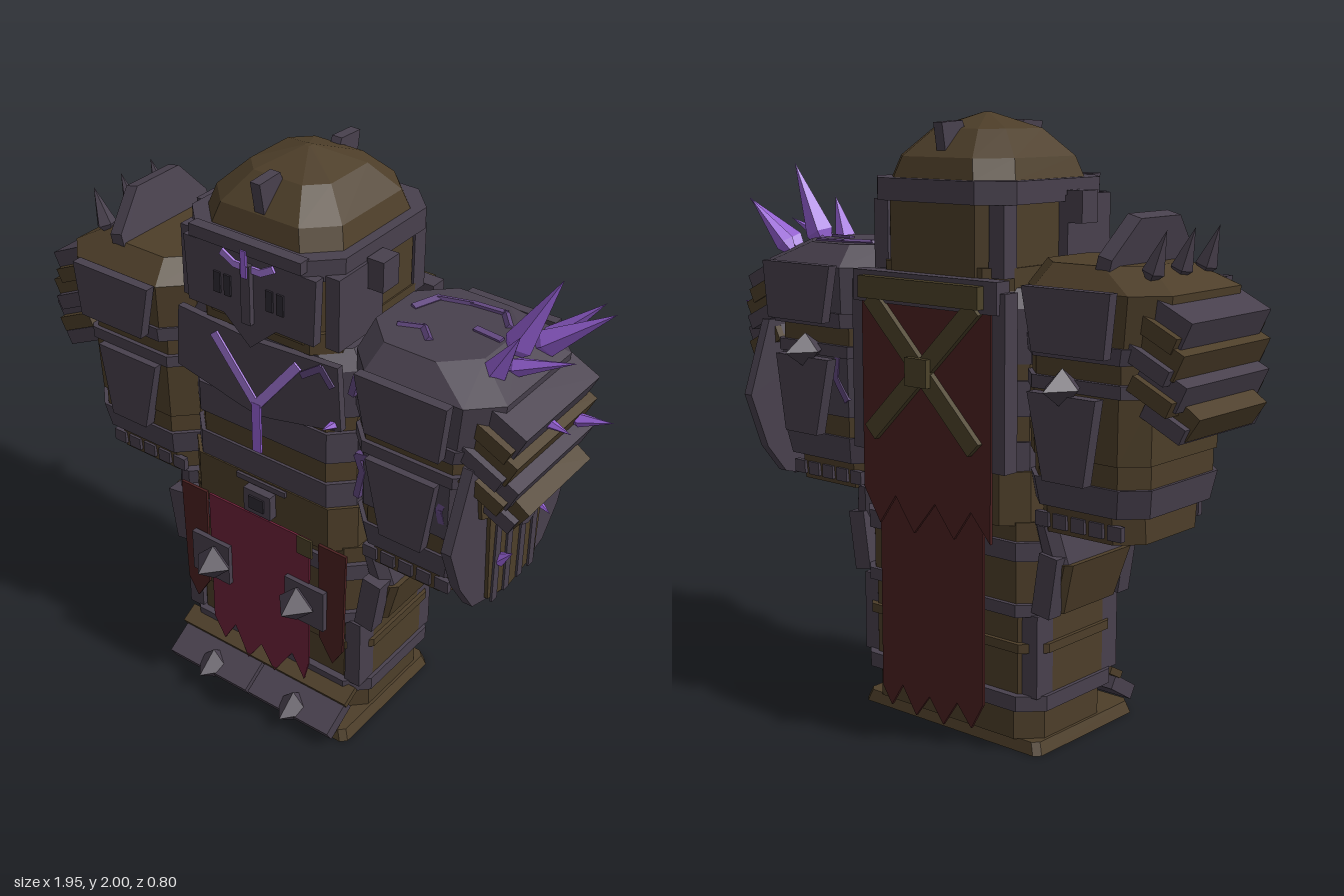
import * as THREE from 'three';

export function createModel() {
  const root = new THREE.Group(), body = new THREE.Group();
  root.name = 'armouredGiant'; body.name = 'body';
  body.position.x = -0.045;
  root.add(body);
  const mat = (name, color) => { const m = new THREE.MeshStandardMaterial({ color }); m.name = name; return m; };
  const metal = mat('dark iron', 0x48404d), brown = mat('brown leather', 0x4d3e29), dark = mat('shadow iron', 0x2f2a33),
    crimson = mat('crimson cloth', 0x6c2138), maroon = mat('maroon cloth', 0x4a2020), strap = mat('olive strap', 0x4c4229),
    purple = mat('purple crystal', 0x9560d4), glow = mat('light purple glow', 0xa678dc), vein = mat('dim purple vein', 0x624880);
  cloth(); 
  function cloth() { [crimson, maroon].forEach(m => { m.side = THREE.DoubleSide; }); }

  const add = (name, geo, m, parent = body) => {
    const g = geo.index ? geo.toNonIndexed() : geo;
    g.computeVertexNormals();
    const mesh = new THREE.Mesh(g, m);
    mesh.name = name; parent.add(mesh);
    return mesh;
  };
  const box = (name, m, x, y, z, w, h, d, p = body, rx = 0, rz = 0) => {
    const b = add(name, new THREE.BoxGeometry(w, h, d), m, p);
    b.position.set(x, y, z); b.rotation.set(rx, 0, rz);
    return b;
  };
  // Chamfered block; each ring is [y, x0, x1, halfDepth, chamfer]
  const loft = (name, m, rings, p = body, z = -0.01) => {
    const pos = [], pts = rings.map(([y, a, b, d, c]) => [[a + c, d], [b - c, d], [b, d - c], [b, c - d], [b - c, -d], [a + c, -d], [a, c - d], [a, d - c]]
      .map(q => [q[0], y, q[1] + z]));
    const tri = (...v) => v.forEach(q => pos.push(...q));
    for (let r = 0; r + 1 < pts.length; r++) for (let i = 0; i < 8; i++) {
      const j = (i + 1) % 8, A = pts[r], B = pts[r + 1];
      tri(A[i], A[j], B[j]); tri(A[i], B[j], B[i]);
    }
    const lo = pts[0], hi = pts[pts.length - 1];
    for (let i = 1; i < 7; i++) { tri(hi[0], hi[i], hi[i + 1]); tri(lo[0], lo[i + 1], lo[i]); }
    const g = new THREE.BufferGeometry();
    g.setAttribute('position', new THREE.Float32BufferAttribute(pos, 3));
    return add(name, g, m, p);
  };
  const ring = (name, m, y0, y1, hw, hd, c = 0.07) => loft(name, m, [[y0, -hw, hw, hd, c], [y1, -hw, hw, hd, c]]);
  // Flat outline in x and y, extruded towards +z
  const plate = (name, m, pts, z, t, p = body) => {
    const s = new THREE.Shape(pts.map(q => new THREE.Vector2(...q)));
    const e = add(name, new THREE.ExtrudeGeometry(s, { depth: t, bevelEnabled: false }), m, p);
    e.position.z = z;
    return e;
  };
  const stud = (name, x, y, z, r, l, p = body) => {
    const o = add(name, new THREE.OctahedronGeometry(1), metal, p);
    o.position.set(x, y, z); o.scale.set(r, r, l);
  };
  const aim = (mesh, a, b, at) => {
    const d = new THREE.Vector3().subVectors(b, a);
    mesh.quaternion.setFromUnitVectors(new THREE.Vector3(0, 1, 0), d.clone().normalize());
    mesh.position.copy(a).addScaledVector(d, at);
  };
  const shard = (name, m, a, b, r, p = body) => {
    a = new THREE.Vector3(...a); b = new THREE.Vector3(...b);
    const l = a.distanceTo(b), prof = [[0, 0], [r, l * 0.25], [0, l]].map(q => new THREE.Vector2(...q));
    aim(add(name, new THREE.LatheGeometry(prof, 5), m, p), a, b, 0);
  };
  const strip = (name, m, pts, w, t = w, p = body) => {
    for (let i = 0; i + 1 < pts.length; i++) {
      const a = new THREE.Vector3(...pts[i]), b = new THREE.Vector3(...pts[i + 1]);
      aim(add(name, new THREE.BoxGeometry(w, a.distanceTo(b) + w * 0.4, t), m, p), a, b, 0.5);
    }
  };

  // Base and legs
  loft('base', brown, [[0.005, -0.385, 0.385, 0.26, 0.02], [0.045, -0.37, 0.37, 0.25, 0.02]], body, 0.045);
  ring('foot', brown, 0.045, 0.16, 0.36, 0.21);
  ring('ankleBand', metal, 0.15, 0.2, 0.388, 0.235);
  ring('shin', brown, 0.2, 0.47, 0.375, 0.21);
  ring('shinBand', brown, 0.34, 0.37, 0.388, 0.225);
  ring('kneeBand', metal, 0.46, 0.5, 0.385, 0.235);
  ring('thigh', brown, 0.5, 0.76, 0.375, 0.22);
  ring('hipBand', metal, 0.64, 0.7, 0.385, 0.235);
  box('toeRim', brown, 0, 0.155, 0.235, 0.72, 0.025, 0.07, body, 0.5);
  for (const s of [-1, 1]) {
    box('toePlate', metal, s * 0.178, 0.085, 0.29, 0.345, 0.05, 0.13, body, 0.55);
    stud('toeSpike', s * 0.178, 0.075, 0.32, 0.065, 0.08);
    for (const z of [-0.17, 0.17]) box('legCorner', metal, s * 0.345, 0.33, z, 0.06, 0.27, 0.08);
    const a = s > 0 ? [0.36, 0.46] : [-0.46, -0.36], b = s > 0 ? [0.36, 0.475] : [-0.475, -0.36];
    loft('tassetBottom', brown, [[0.47, s > 0 ? 0.36 : -0.425, s > 0 ? 0.425 : -0.36, 0.15, 0.02], [0.64, ...b, 0.17, 0.02]]);
    loft('tassetTop', metal, [[0.63, ...a, 0.18, 0.03], [0.76, s > 0 ? 0.34 : -0.43, s > 0 ? 0.43 : -0.34, 0.2, 0.03]]);
    for (const z of [-0.18, 0.18]) box('tassetEdge', metal, s * 0.4, 0.57, z, 0.07, 0.2, 0.06, body, 0, -s * 0.15);
  }

  // Torso layers
  ring('belt', brown, 0.75, 0.92, 0.335, 0.255);
  ring('waistBand', metal, 0.92, 1.01, 0.325, 0.25);
  ring('waistGap', brown, 1.01, 1.09, 0.315, 0.24);
  ring('ribBand', metal, 1.09, 1.2, 0.325, 0.25);
  ring('ribGap', brown, 1.2, 1.25, 0.315, 0.24);
  loft('chest', metal, [[1.25, -0.32, 0.32, 0.24, 0.07], [1.42, -0.33, 0.33, 0.25, 0.08], [1.48, -0.29, 0.29, 0.24, 0.08]]);
  ring('collar', brown, 1.47, 1.54, 0.27, 0.26);
  for (const s of [-1, 1]) plate('breastPlate', metal, [[0, 1.18], [s * 0.06, 1.19], [s * 0.325, 1.25], [s * 0.31, 1.47], [0, 1.45]], 0.235, 0.025);
  box('buckle', metal, 0, 0.84, 0.25, 0.11, 0.09, 0.05);
  box('buckleCentre', dark, 0, 0.84, 0.277, 0.06, 0.05, 0.008);
  box('beltStrap', metal, 0, 0.905, 0.245, 0.2, 0.02, 0.02);
  for (const s of [-1, 1]) strip('chestGlow', glow, [[s * 0.16, 1.42, 0.263], [0, 1.22, 0.263]], 0.032, 0.008);
  strip('chestGlow', purple, [[0, 1.22, 0.264], [0, 1.05, 0.264]], 0.034, 0.008);

  // Front cloth with torn hem and studded plates
  plate('frontCloth', crimson, [[-0.21, 0.785], [0.21, 0.785], [0.205, 0.25], [0.185, 0.17], [0.135, 0.26], [0.055, 0.135], [0, 0.225], [-0.06, 0.135], [-0.115, 0.255], [-0.165, 0.17], [-0.21, 0.25]], 0.262, 0.008);
  for (const s of [-1, 1]) {
    plate('sideCloth', maroon, [[s * 0.235, 0.77], [s * 0.345, 0.77], [s * 0.335, 0.36], [s * 0.295, 0.29], [s * 0.24, 0.38]], 0.245, 0.01);
    box('thighPlate', metal, s * 0.2, 0.525, 0.277, 0.16, 0.16, 0.02);
    stud('thighSpike', s * 0.178, 0.525, 0.3, 0.07, 0.08);
  }
  box('clothPatch', strap, 0.195, 0.755, 0.274, 0.06, 0.07, 0.008);

  // Back cloths, rail and crossed straps
  plate('lowerCape', maroon, [[-0.22, 1], [0.22, 1], [0.22, 0.12], [0.18, 0.06], [0.13, 0.14], [0.07, 0.05], [0.01, 0.13], [-0.05, 0.05], [-0.11, 0.14], [-0.17, 0.07], [-0.22, 0.16]], -0.288, 0.01);
  plate('upperCape', maroon, [[-0.27, 1.46], [0.27, 1.46], [0.27, 0.8], [0.2, 0.69], [0.13, 0.79], [0.05, 0.68], [-0.04, 0.79], [-0.12, 0.69], [-0.19, 0.79], [-0.27, 0.7]], -0.312, 0.01);
  box('capeRail', strap, 0, 1.46, -0.32, 0.5, 0.07, 0.06);
  box('capeBack', metal, 0, 1.46, -0.29, 0.6, 0.1, 0.06);
  for (const s of [-1, 1]) {
    strip('crossStrap', strap, [[s * 0.21, 1.42, -0.325], [-s * 0.21, 1.0, -0.325]], 0.06, 0.02);
    box('capeFrame', metal, s * 0.295, 1.2, -0.275, 0.05, 0.55, 0.06);
  }
  box('crossKnot', strap, 0, 1.21, -0.34, 0.09, 0.09, 0.03);

  // Helmet
  ring('helmetSides', brown, 1.5, 1.74, 0.265, 0.265, 0.09);
  ring('browBand', metal, 1.73, 1.8, 0.29, 0.295, 0.09);
  loft('dome', brown, [[1.8, -0.255, 0.255, 0.26, 0.09], [1.865, -0.235, 0.235, 0.24, 0.09], [1.95, -0.15, 0.15, 0.15, 0.06], [2, -0.01, 0.01, 0.01, 0.003]]);
  plate('facePlate', metal, [[-0.25, 1.75], [-0.24, 1.53], [-0.1, 1.53], [0, 1.44], [0.1, 1.53], [0.24, 1.53], [0.25, 1.75]], 0.25, 0.035);
  box('nosePlate', metal, 0, 1.63, 0.288, 0.035, 0.2, 0.03);
  box('browRidge', metal, 0, 1.785, 0.285, 0.42, 0.04, 0.04);
  for (const s of [-1, 1]) {
    for (const x of [0.08, 0.12]) box('visorSlit', dark, s * x, 1.63, 0.287, 0.025, 0.07, 0.008);
    strip('eyeGlow', glow, [[s * 0.095, 1.74, 0.289], [s * 0.05, 1.715, 0.289], [0, 1.715, 0.289]], 0.022, 0.009);
    box('earBlock', metal, s * 0.325, 1.715, 0.06, 0.06, 0.1, 0.08);
    box('cheekPlate', metal, s * 0.275, 1.63, 0.13, 0.05, 0.24, 0.22);
    box('napePost', metal, s * 0.24, 1.62, -0.22, 0.06, 0.22, 0.06);
    const fin = plate('domeFin', metal, [[0.13, 1.93], [0.15, 1.975], [0.245, 1.97], [0.225, 1.86]], -0.018, 0.036);
    fin.rotation.y = s * Math.PI / 2;
    fin.position.set(-s * 0.018, 0, 0);
  }
  box('eyeGem', purple, 0, 1.735, 0.305, 0.02, 0.09, 0.009);

  // Arms: the left one is iron, the right one mostly leather
  for (const s of [-1, 1]) {
    const arm = new THREE.Group();
    arm.name = s > 0 ? 'leftArm' : 'rightArm';
    body.add(arm);
    const main = s > 0 ? metal : brown;
    const seg = (n, m, ...r) => loft(n, m, r.map(([y, a, b, d, c = 0.07]) => s > 0 ? [y, a, b, d, c] : [y, -b, -a, d, c]), arm);
    const X = pts => pts.map(q => [s * q[0], ...q.slice(1)]);
    seg('cuff', brown, [0.75, 0.345, 0.728, 0.2], [0.85, 0.345, 0.728, 0.21]);
    seg('vambrace', metal, [0.84, 0.335, 0.76, 0.23], [0.93, 0.325, 0.775, 0.245]);
    seg('forearmGap', brown, [0.93, 0.335, 0.765, 0.235], [1.0, 0.335, 0.765, 0.235]);
    seg('forearm', main, [1.0, 0.325, 0.77, 0.245], [1.2, 0.325, 0.775, 0.25]);
    seg('elbowBand', metal, [1.2, 0.32, 0.785, 0.255], [1.24, 0.32, 0.785, 0.255]);
    seg('upperArm', brown, [1.24, 0.325, 0.775, 0.24], [1.3, 0.325, 0.775, 0.24]);
    seg('pauldronRim', metal, [1.3, 0.315, 0.81, 0.27, 0.09], [1.35, 0.315, 0.82, 0.275, 0.09]);
    seg('pauldron', main, [1.35, 0.315, 0.82, 0.265, 0.09], [1.5, 0.315, 0.835, 0.27, 0.09], [1.57, 0.325, 0.705, 0.2, 0.1]);
    for (let i = 0; i < 5; i++) for (const z of [0.195, -0.215])
      box('cuffStud', metal, s * (0.4 + i * 0.068), 0.79, z, 0.05, 0.045, 0.02, arm);
    // Plates on the front and back
    for (const z of [0.255, -0.3]) {
      plate('shoulderPlate', metal, X([[0.44, 1.32], [0.66, 1.32], [0.7, 1.32], [0.72, 1.51], [0.4, 1.51]]), z + (z > 0 ? 0.015 : -0.03), 0.035, arm);
      plate('elbowPlate', metal, X([[0.48, 0.94], [0.63, 0.94], [0.67, 1.2], [0.42, 1.2]]), z - 0.025, 0.04, arm);
    }
    stud('elbowSpike', s * 0.54, 1.22, -0.31, 0.06, 0.09, arm);
    // Overlapping plates down the outer shoulder
    [[0.83, 1.43, 0.42], [0.82, 1.34, 0.46], [0.825, 1.25, 0.44], [0.845, 1.17, 0.36]].forEach(([x, y, d], i) => {
      box('shoulderScale', i % 2 ? brown : metal, s * x, y, -0.01, 0.16, 0.085, d, arm, 0, s * (i < 3 ? -0.45 : -0.6));
      box('scaleBacking', i % 2 ? metal : brown, s * (x - 0.02), y - 0.03, -0.01, 0.15, 0.05, d + 0.05, arm, 0, -s * 0.45);
    });
  }

  // Right shoulder crest and thorns
  const crest = plate('shoulderCrest', metal, [[-0.22, 0], [0.2, 0], [0.2, 0.06], [0.1, 0.18], [-0.1, 0.18], [-0.22, 0.06]], -0.025, 0.05);
  crest.rotation.set(0, Math.PI / 2, 0.25, 'ZYX');
  crest.position.set(-0.63, 1.53, -0.02);
  for (const z of [-0.16, -0.015, 0.115]) shard('shoulderThorn', metal, [-0.73, 1.52, z], [-0.79, 1.68, z], 0.035);

  // Shield on the left arm, outline in z and y turned to face sideways
  const shield = new THREE.Group();
  shield.name = 'shield';
  shield.rotation.y = Math.PI / 2;
  shield.position.x = 0.75;
  body.add(shield);
  plate('shieldRim', metal, [[-0.2, 0.76], [0, 0.7], [0.22, 0.76], [0.3, 0.86], [0.37, 1.05], [0.28, 1.3], [-0.25, 1.3], [-0.345, 1.05], [-0.28, 0.88]], 0, 0.035, shield);
  plate('shieldBoard', brown, [[-0.13, 0.75], [0, 0.72], [0.15, 0.75], [0.17, 1.08], [0.21, 1.1], [0.24, 1.22], [-0.22, 1.22], [-0.2, 1.1], [-0.15, 1.08]], 0.035, 0.012, shield);
  for (const x of [-0.1, -0.03, 0.05, 0.12]) box('shieldSlat', metal, x, 0.9, 0.05, 0.03, 0.34, 0.008, shield);
  box('shieldGrip', metal, 0, 1.1, -0.03, 0.1, 0.08, 0.08, shield);
  const boss = add('shieldBoss', new THREE.CylinderGeometry(0.05, 0.09, 0.06, 8), metal, shield);
  boss.rotation.x = Math.PI / 2; boss.position.set(0, 1.04, 0.065);

  // Crystals growing from the left shoulder, arm and shield
  [[[0.71, 1.5, -0.03], [0.865, 1.82, -0.04], 0.05], [[0.72, 1.5, -0.12], [0.985, 1.7, -0.15], 0.045],
    [[0.72, 1.5, 0.08], [0.83, 1.7, 0.12], 0.04], [[0.73, 1.5, -0.16], [0.93, 1.7, -0.19], 0.035],
    [[0.72, 1.52, 0.04], [0.965, 1.62, 0.03], 0.03], [[0.86, 1.4, 0.03], [0.975, 1.39, 0.04], 0.02],
    [[0.86, 1.3, -0.15], [1.01, 1.335, -0.16], 0.024], [[0.84, 1.12, 0.02], [0.93, 1.08, 0.03], 0.02],
    [[0.78, 0.86, 0.08], [0.85, 0.93, 0.09], 0.025], [[0.3, 1.26, 0.22], [0.29, 1.27, 0.31], 0.02]]
    .forEach(([a, b, r]) => shard('crystal', purple, a, b, r));
  // Glowing cracks on the left shoulder, chest edge and arm
  [[[0.38, 1.567, -0.03], [0.41, 1.567, -0.12], [0.51, 1.567, -0.15], [0.62, 1.567, -0.16], [0.67, 1.567, -0.1]],
    [[0.4, 1.567, 0.08], [0.47, 1.567, 0.05], [0.52, 1.567, 0.1]], [[0.6, 1.567, -0.03], [0.69, 1.567, -0.02]],
    [[0.18, 1.4, 0.255], [0.25, 1.45, 0.255], [0.29, 1.4, 0.255]],
    [[0.36, 1.4, 0.25], [0.375, 1.46, 0.25], [0.41, 1.42, 0.25]], [[0.37, 1.02, 0.23], [0.39, 1.12, 0.23], [0.37, 1.17, 0.23], [0.43, 1.18, 0.23]],
    [[0.69, 1.0, 0.22], [0.67, 1.1, 0.23], [0.7, 1.18, 0.22]], [[0.4, 1.06, -0.252], [0.45, 1.13, -0.252], [0.44, 1.2, -0.252]]]
    .forEach(p => strip('crack', vein, p, 0.022));
  return root;
}
